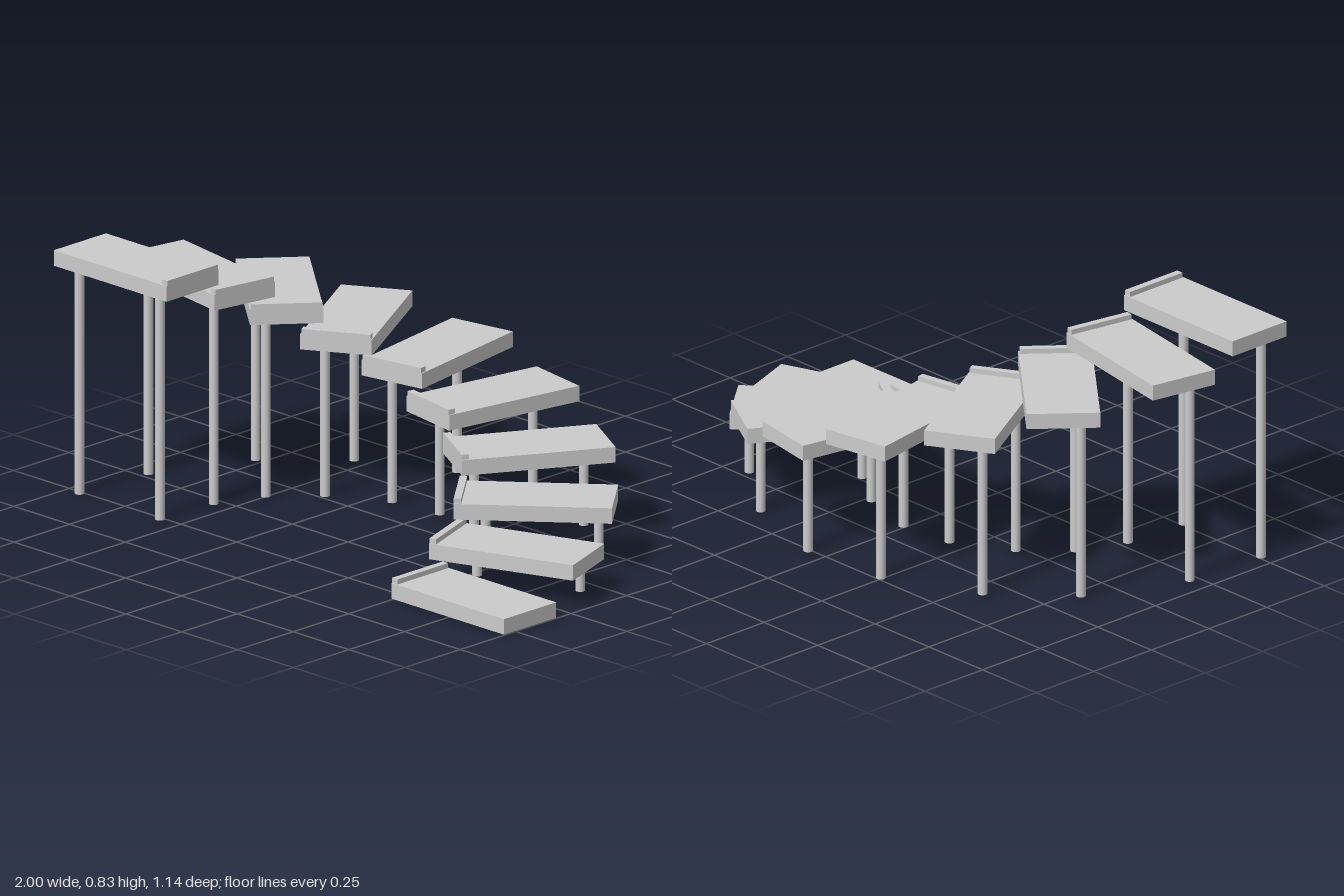
import * as THREE from 'three';

const LENGTH = 0.505, WIDTH = 0.235, THICK = 0.052;
const CURB_W = 0.024, CURB_H = 0.017;
const LEG_R = 0.0155;

// Each tread: heading in degrees, midpoint of its outer edge (x, z), top height
const TREADS = [
  [0, 1.0, 0.435, 0.054],
  [20, 0.933, 0.104, 0.147],
  [40, 0.743, -0.206, 0.221],
  [60, 0.489, -0.42, 0.313],
  [80, 0.142, -0.553, 0.397],
  [100, -0.195, -0.552, 0.489],
  [120, -0.532, -0.414, 0.566],
  [140, -0.786, -0.2, 0.657],
  [170, -0.97, 0.152, 0.735],
  [180, -1.0, 0.4525, 0.816],
];

export function createModel() {
  const group = new THREE.Group();
  group.name = 'curvedStaircase';
  const material = new THREE.MeshStandardMaterial({ color: 0xcccccc });

  const add = (parent, name, geometry, x, y, z) => {
    const mesh = new THREE.Mesh(geometry, material);
    mesh.name = name;
    mesh.position.set(x, y, z);
    parent.add(mesh);
  };

  TREADS.forEach(([deg, x, z, top], i) => {
    // Local frame: +x points outward, origin at the outer edge on the ground
    const step = new THREE.Group();
    step.name = `step${i + 1}`;
    step.position.set(x, 0, z);
    step.rotation.y = THREE.MathUtils.degToRad(deg);
    group.add(step);

    const thick = Math.min(THICK, top);
    add(step, 'tread', new THREE.BoxGeometry(LENGTH, thick, WIDTH), -LENGTH / 2, top - thick / 2, 0);

    // Low raised strip along the inner end
    add(step, 'innerCurb', new THREE.BoxGeometry(CURB_W, CURB_H, WIDTH - 0.008),
      -LENGTH + CURB_W / 2, top + CURB_H / 2, 0);

    // Two posts per raised tread, set toward its trailing side
    if (i > 0) {
      const h = top - thick;
      for (const [name, u] of [['outerPost', -0.057], ['innerPost', -0.418]]) {
        add(step, name, new THREE.CylinderGeometry(LEG_R, LEG_R, h, 20), u, h / 2, -0.059);
      }
    }
  });
  return group;
}
